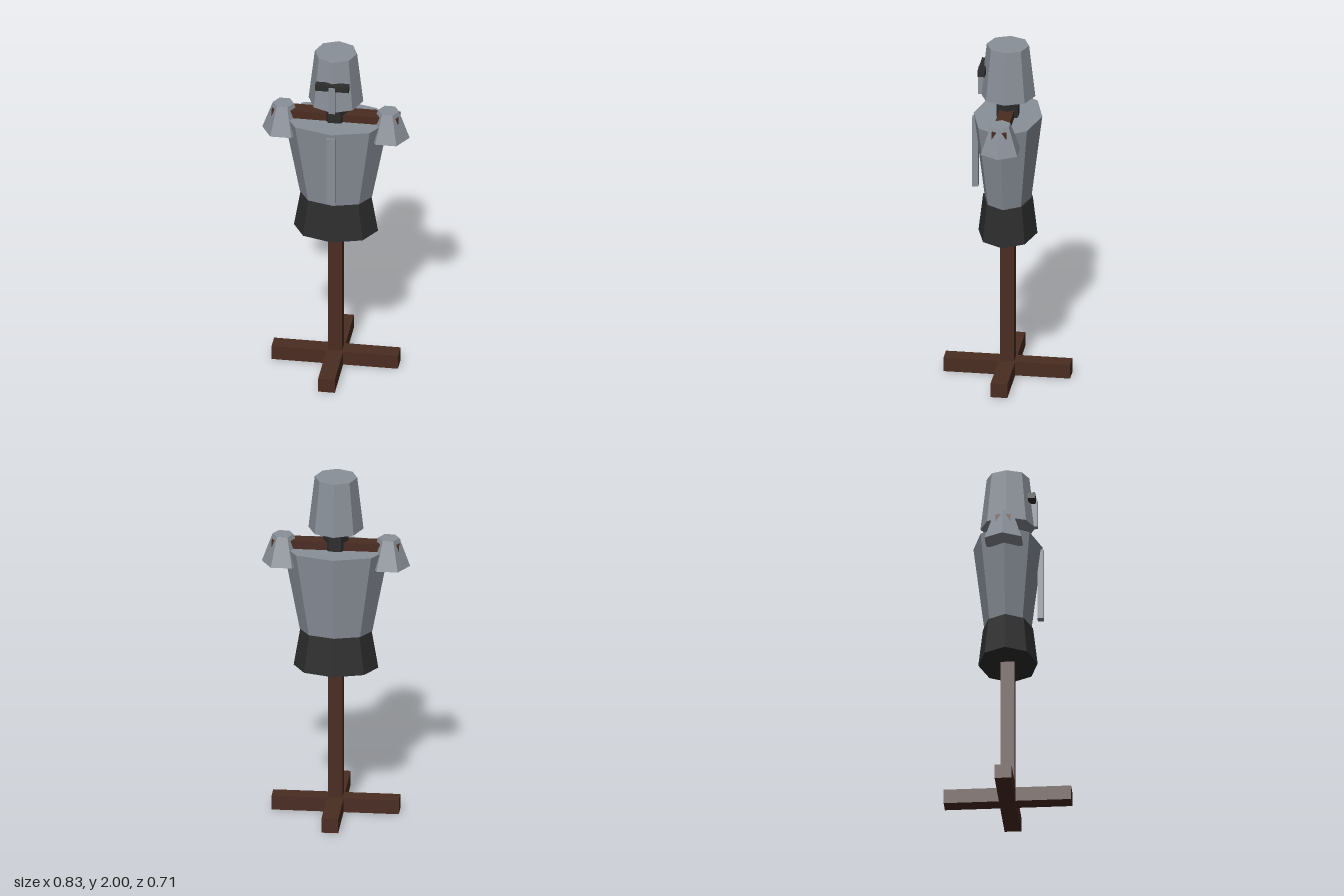
import * as THREE from 'three';

export function createModel() {
  const model = new THREE.Group();
  model.name = 'armourStand';

  const material = (name, color) => {
    const m = new THREE.MeshStandardMaterial({ color, flatShading: true });
    m.name = name;
    return m;
  };
  const steel = material('steel', 0x8a9099);
  const dark = material('darkIron', 0x2d2d2d);
  const wood = material('wood', 0x4a2c21);

  const add = (name, geometry, mat, x, y, z) => {
    const mesh = new THREE.Mesh(geometry, mat);
    mesh.name = name;
    mesh.position.set(x, y, z);
    model.add(mesh);
    return mesh;
  };
  // Box spanning y0..y1
  const box = (name, mat, w, y0, y1, d, x = 0, z = 0) =>
    add(name, new THREE.BoxGeometry(w, y1 - y0, d), mat, x, (y0 + y1) / 2, z);
  // Faceted tapered drum spanning y0..y1, optionally flattened in z
  const drum = (name, mat, rTop, rBottom, y0, y1, sides, depth = 1, x = 0) => {
    const g = new THREE.CylinderGeometry(rTop, rBottom, y1 - y0, sides);
    g.rotateY(Math.PI / 2); // corners point along x
    g.scale(1, 1, depth);
    return add(name, g, mat, x, (y0 + y1) / 2, 0);
  };

  // Wooden stand
  box('baseBeamAcross', wood, 0.712, 0, 0.083, 0.094);
  box('baseBeamAlong', wood, 0.094, 0, 0.083, 0.712);
  box('post', wood, 0.08, 0.04, 1.6, 0.08);
  box('shoulderBeam', wood, 0.712, 1.54, 1.62, 0.082);

  // Body armour
  drum('skirt', dark, 0.2, 0.237, 0.86, 1.078, 8, 0.7);
  drum('breastplate', steel, 0.297, 0.203, 1.078, 1.573, 8, 0.65);
  box('breastRidge', steel, 0.047, 1.13, 1.55, 0.035, 0, 0.183);

  // Shoulder guards
  for (const [side, s] of [['left', 1], ['right', -1]]) {
    drum(side + 'ShoulderGuard', steel, 0.059, 0.119, 1.48, 1.645, 6, 1, s * 0.296);
  }

  // Neck and helmet
  drum('neck', dark, 0.07, 0.07, 1.56, 1.7, 6);
  drum('helmet', steel, 0.119, 0.154, 1.695, 2, 8);
  box('eyeSlit', dark, 0.19, 1.835, 1.87, 0.041, 0, 0.138);
  box('noseGuard', steel, 0.036, 1.695, 1.86, 0.035, 0, 0.148);

  return model;
}
